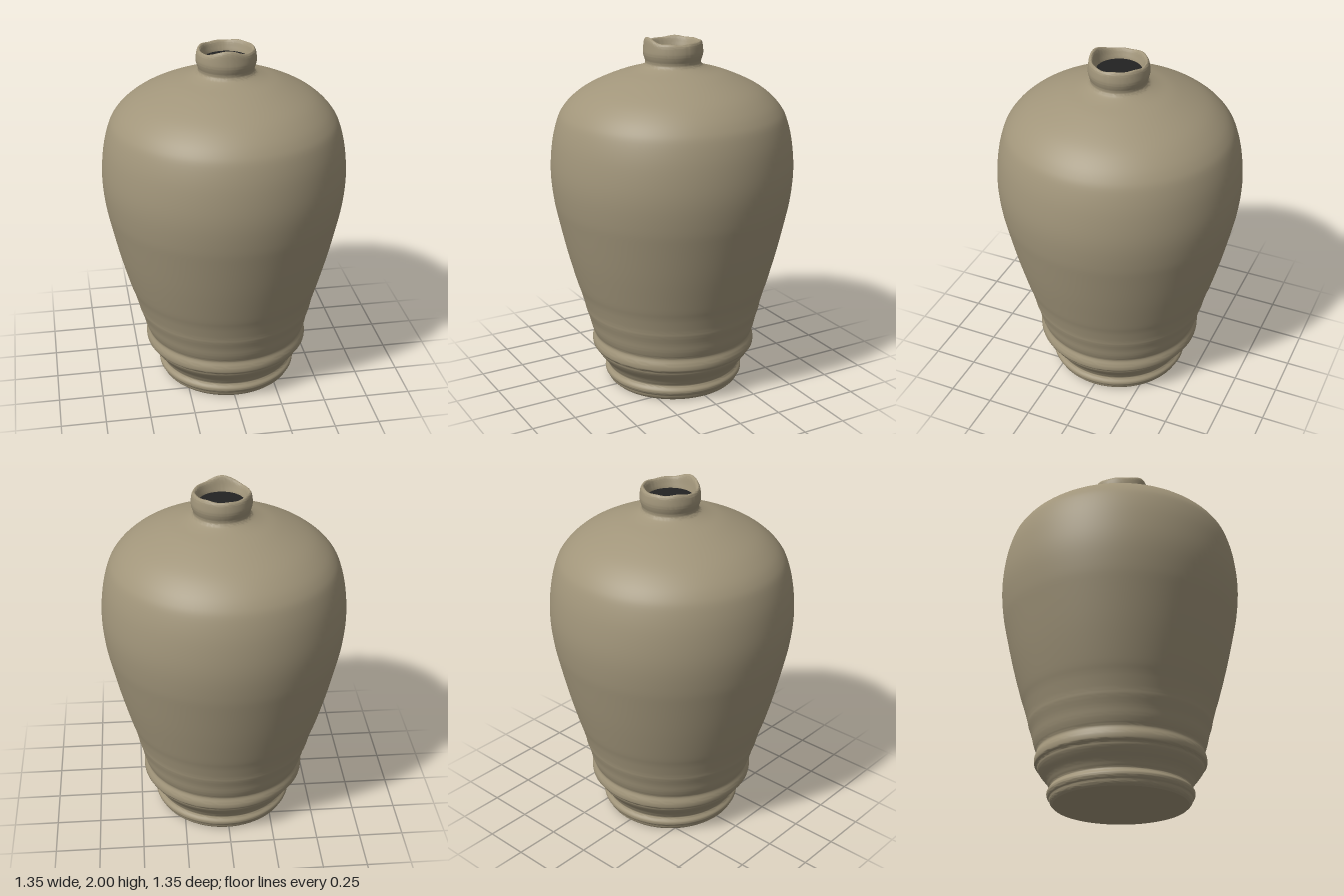
import * as THREE from 'three';
import { toCreasedNormals } from 'three/addons/utils/BufferGeometryUtils.js';

const clay = new THREE.MeshStandardMaterial({ color: 0xa1957a });
clay.name = 'clay';
const dark = new THREE.MeshStandardMaterial({ color: 0x222222 });
dark.name = 'darkInterior';

const RIM = 1.972;

// [radius, height] from the foot to the rim, then down inside the neck
const profile = [
  [0.365, 0], [0.38, 0.015], [0.384, 0.03], [0.396, 0.045], [0.397, 0.065], [0.381, 0.088],
  [0.388, 0.105], [0.402, 0.13], [0.43, 0.165], [0.447, 0.19], [0.453, 0.207], [0.466, 0.218],
  [0.467, 0.25], [0.455, 0.285], [0.464, 0.31], [0.474, 0.34], [0.482, 0.375], [0.489, 0.4],
  [0.502, 0.44], [0.508, 0.47], [0.524, 0.53], [0.533, 0.56], [0.552, 0.62], [0.6, 0.8],
  [0.645, 1.0], [0.664, 1.1], [0.676, 1.22], [0.674, 1.33], [0.658, 1.45], [0.63, 1.55],
  [0.6, 1.605], [0.555, 1.655], [0.49, 1.705], [0.405, 1.75], [0.3, 1.793], [0.21, 1.82],
  [0.162, 1.84], [0.152, 1.86], [0.159, 1.885], [0.164, 1.91], [0.161, 1.945], [0.157, 1.962],
  [0.148, RIM], [0.138, 1.964], [0.129, 1.94], [0.12, 1.91], [0.115, 1.86],
];

// uneven, chipped rim height around the neck (angle 0 is the front)
const rimShift = (a) =>
  0.026 * Math.exp(-(((a + 0.15) / 0.42) ** 2)) -
  0.008 * Math.exp(-(((a + 1.5) / 0.4) ** 2)) +
  0.003 * Math.sin(3 * a + 1) + 0.002 * Math.sin(8 * a);

// the hand-thrown pot leans slightly: foot and neck sit off the body axis
const lean = (y) => 0.012 * (THREE.MathUtils.smoothstep(y, 1.6, 1.85) +
  1 - THREE.MathUtils.smoothstep(y, 0, 0.7));

export function createModel() {
  const group = new THREE.Group();
  group.name = 'jar';
  const add = (name, geometry, material) => {
    const mesh = new THREE.Mesh(geometry, material);
    mesh.name = name;
    group.add(mesh);
    return mesh;
  };

  // turned wall with neck and rim
  const curve = new THREE.SplineCurve(profile.map(([r, y]) => new THREE.Vector2(r, y)));
  const wall = new THREE.LatheGeometry(curve.getPoints((profile.length - 1) * 4), 112);
  const p = wall.attributes.position;
  for (let i = 0; i < p.count; i++) {
    const x = p.getX(i), y = p.getY(i), z = p.getZ(i);
    const w = THREE.MathUtils.smoothstep(y, 1.92, RIM);
    p.setX(i, x + lean(y));
    p.setY(i, Math.max(0, y + w * rimShift(Math.atan2(x, z))));
  }
  add('body', toCreasedNormals(wall, 1.0), clay);

  // flat underside
  const base = add('base', new THREE.CircleGeometry(0.365, 112), clay);
  base.rotation.x = Math.PI / 2;
  base.position.x = lean(0);

  // dark opening inside the neck
  const opening = add('opening', new THREE.CircleGeometry(0.122, 64), dark);
  opening.rotation.x = -Math.PI / 2;
  opening.position.set(lean(1.9), 1.915, 0);

  return group;
}
